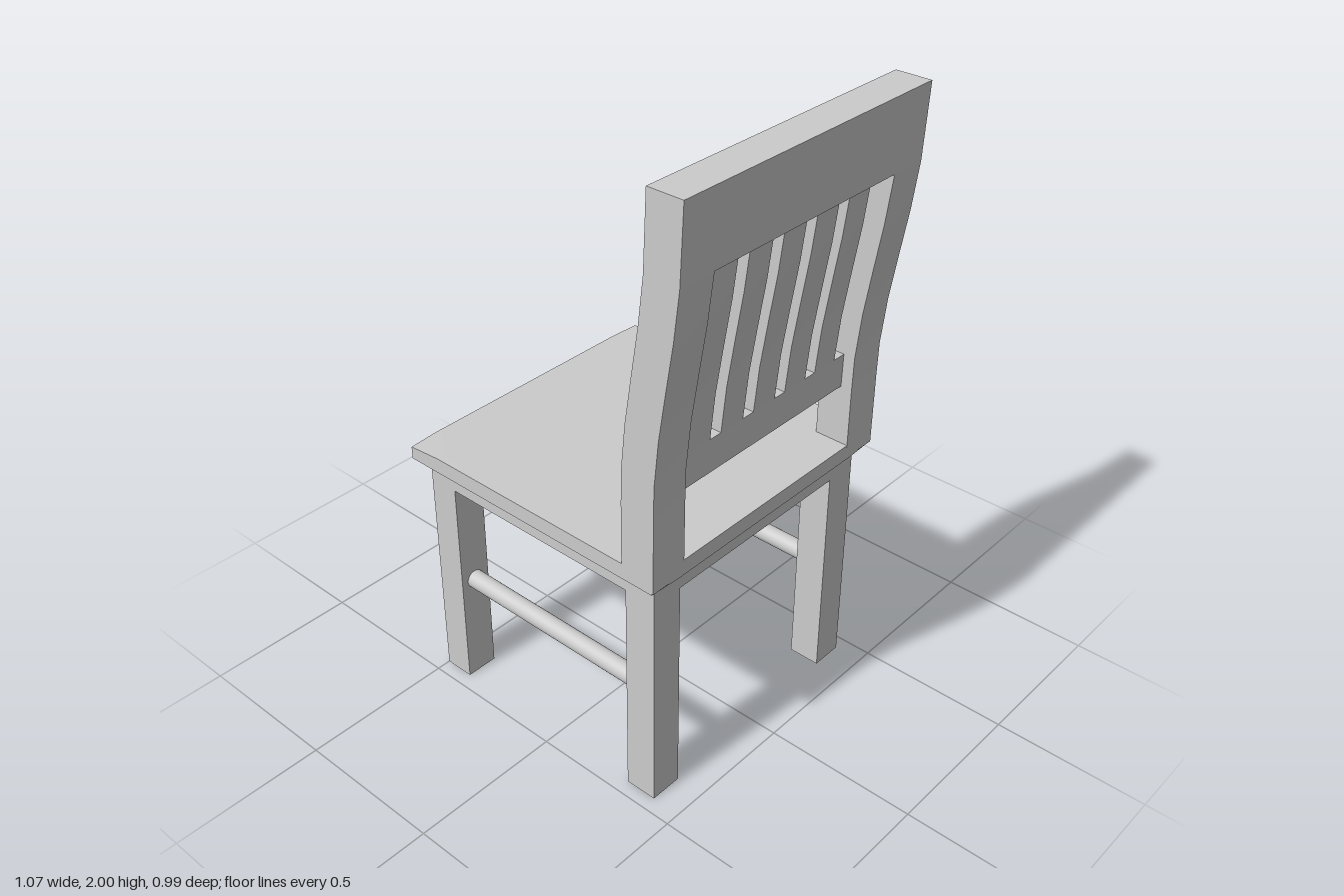
import * as THREE from 'three';
import { toCreasedNormals } from 'three/addons/utils/BufferGeometryUtils.js';

const material = new THREE.MeshStandardMaterial({ color: 0xcccccc });

// Front line of the backrest as [height, x]; it sweeps gently backwards.
const sweep = [
  [0.82, 0.325], [1.06, 0.326], [1.17, 0.328], [1.32, 0.343],
  [1.47, 0.366], [1.62, 0.39], [1.77, 0.408], [2, 0.418],
];

export function createModel() {
  const chair = new THREE.Group();
  chair.name = 'chair';

  function add(name, geometry, x = 0, y = 0, z = 0, parent = chair) {
    const mesh = new THREE.Mesh(geometry, material);
    mesh.name = name;
    mesh.position.set(x, y, z);
    parent.add(mesh);
    return mesh;
  }

  function box(name, x0, x1, y0, y1, z0, z1) {
    return add(name, new THREE.BoxGeometry(x1 - x0, y1 - y0, z1 - z0),
      (x0 + x1) / 2, (y0 + y1) / 2, (z0 + z1) / 2);
  }

  // Side profile in x and y, extruded across z and centred
  function profile(points, width, steps = 1) {
    const shape = new THREE.Shape(points.map(([x, y]) => new THREE.Vector2(x, y)));
    const geometry = new THREE.ExtrudeGeometry(shape, { depth: width, steps, bevelEnabled: false });
    return geometry.translate(0, 0, -width / 2);
  }

  // Seat with a softened front edge and slightly drawn-in corners
  const seat = profile([
    [-0.54, 0.815], [0.44, 0.815], [0.44, 0.866], [-0.42, 0.866], [-0.54, 0.856],
  ], 0.99, 10);
  const p = seat.attributes.position;
  for (let i = 0; i < p.count; i++) {
    if (Math.abs(p.getZ(i)) > 0.45) p.setX(i, p.getX(i) * 0.988);
  }
  seat.computeVertexNormals();
  add('seat', toCreasedNormals(seat, 0.4));

  // Apron block under the seat, flush with the legs
  box('apron', -0.5, 0.405, 0.735, 0.815, -0.453, 0.453);

  // Legs and side stretchers
  for (const side of [-1, 1]) {
    const [z0, z1] = side > 0 ? [0.345, 0.453] : [-0.453, -0.345];
    box('frontLeg', -0.5, -0.4, 0, 0.735, z0, z1);
    box('backLeg', 0.3, 0.405, 0, 0.735, z0, z1);
    const rod = add('stretcher', new THREE.CylinderGeometry(0.03, 0.03, 0.72, 24), -0.05, 0.37, side * 0.4);
    rod.rotation.z = Math.PI / 2;
  }

  // Backrest: every piece is a slice of the same swept curve
  const back = new THREE.Group();
  back.name = 'backrest';
  chair.add(back);

  function slice(name, y0, y1, inset, thickness, width, z) {
    const line = sweep.filter(([y]) => y >= y0 && y <= y1);
    const front = line.map(([y, x]) => [x + inset, y]);
    const rear = line.map(([y, x]) => [x + inset + thickness, y]).reverse();
    add(name, toCreasedNormals(profile([...rear, ...front], width), 0.4), 0, 0, z, back);
  }

  for (const side of [-1, 1]) slice('backPost', 0.82, 1.77, 0, 0.115, 0.125, side * 0.4325);
  slice('topRail', 1.77, 2, 0, 0.115, 0.99, 0);
  slice('lowerRail', 1.06, 1.17, 0.024, 0.053, 0.74, 0);
  for (let i = -2; i <= 2; i++) slice('slat', 1.17, 1.77, 0.024, 0.053, 0.093, i * 0.138);

  return chair;
}
